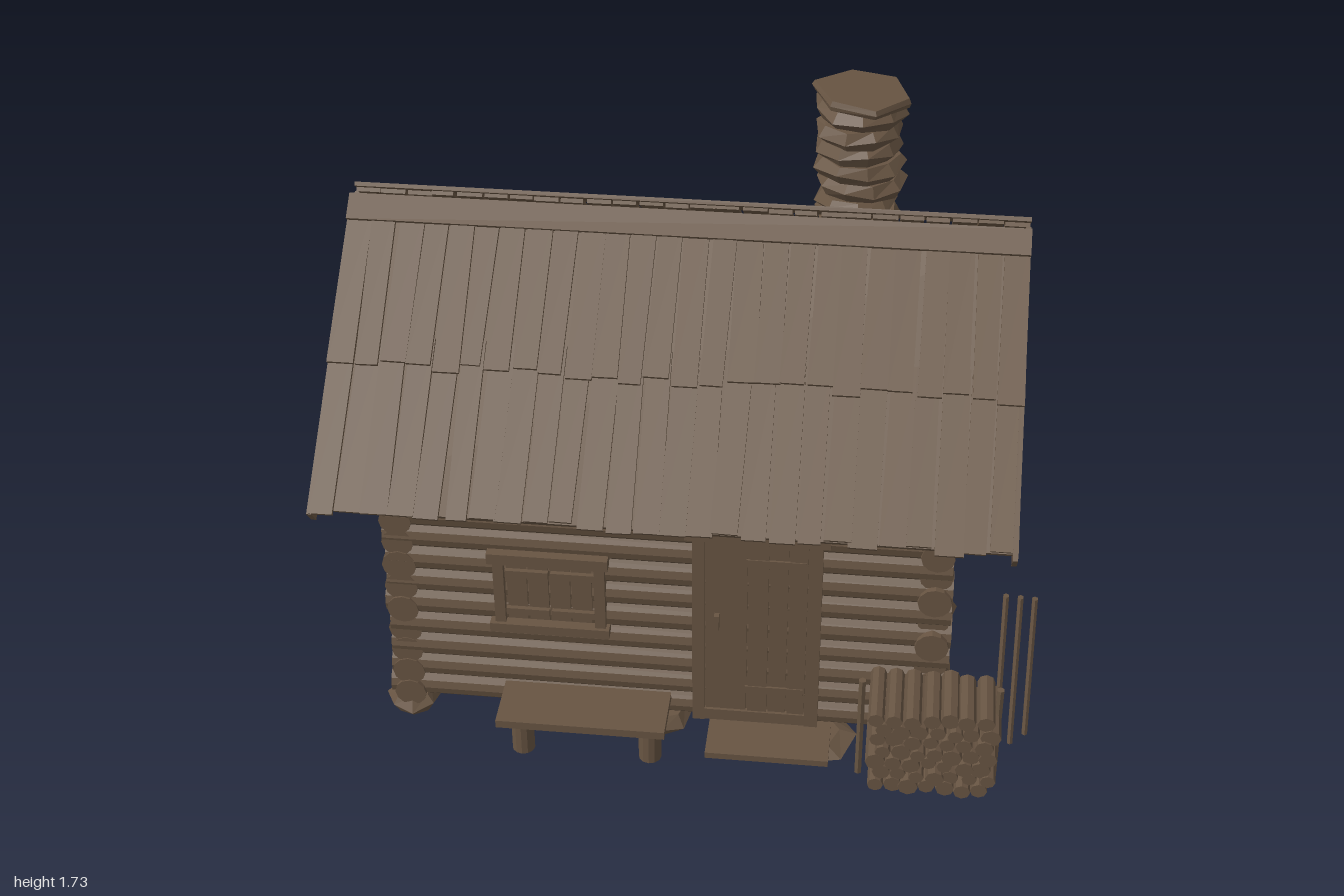
import * as THREE from 'three';

const wood = new THREE.MeshStandardMaterial({ color: 0x675442, flatShading: true });
wood.name = 'weathered brown';

export function createModel() {
  const root = new THREE.Group();
  root.name = 'logCabin';

  // seeded jitter in [-a, a]
  let seed = 7;
  const jit = (a) => {
    seed = (seed * 16807) % 2147483647;
    return (seed / 2147483647 * 2 - 1) * a;
  };

  const group = (name, parent = root, x = 0, y = 0, z = 0) => {
    const g = new THREE.Group();
    g.name = name;
    g.position.set(x, y, z);
    parent.add(g);
    return g;
  };
  const add = (parent, name, geo, x = 0, y = 0, z = 0) => {
    const m = new THREE.Mesh(geo, wood);
    m.name = name;
    m.position.set(x, y, z);
    parent.add(m);
    return m;
  };
  const box = (parent, name, w, h, d, x, y, z) =>
    add(parent, name, new THREE.BoxGeometry(w, h, d), x, y, z);
  // box given by its x and y limits, with a z centre
  const panel = (parent, name, x0, x1, y0, y1, z, d) =>
    box(parent, name, x1 - x0, y1 - y0, d, (x0 + x1) / 2, (y0 + y1) / 2, z);
  const log = (parent, name, r, len, axis, x, y, z, sides = 12) => {
    const g = new THREE.CylinderGeometry(r, r, len, sides);
    if (axis === 'x') g.rotateZ(Math.PI / 2);
    if (axis === 'z') g.rotateX(Math.PI / 2);
    return add(parent, name, g, x, y, z);
  };
  // squat, irregular faceted stone
  const rock = (parent, name, r, h, x, y, z, edge = 0.72, sides = 7) => {
    const g = new THREE.CylinderGeometry(r * edge, r * edge, h, sides, 2);
    const p = g.attributes.position, s = jit(3);
    for (let i = 0; i < p.count; i++) {
      const px = p.getX(i), py = p.getY(i), pz = p.getZ(i), t = Math.atan2(pz, px);
      const mid = Math.abs(py) < h * 0.1;
      const k = (mid ? 1 / edge : 1) * (1 + 0.05 * Math.sin(2 * t + s) + 0.04 * Math.sin(3 * t + 2 * s + py * 60));
      p.setXYZ(i, px * k, py + (mid ? 0.15 * h * Math.sin(3 * t + s) : 0), pz * k);
    }
    g.rotateY(s);
    g.computeVertexNormals();
    return add(parent, name, g, x, y, z);
  };

  const CX = -0.05, CZ = -0.035;
  const house = group('house', root, CX, 0, CZ);

  // log walls, rows of one pair offset from the other
  const walls = group('logWalls', house);
  const STEP = 0.0785;
  for (const s of [1, -1]) {
    for (let i = 0; i < 10; i++) {
      log(walls, 'longLog', 0.047 + jit(0.002), 1.595 + jit(0.02), 'x', jit(0.006), 0.117 + i * STEP, s * 0.565);
      log(walls, 'sideLog', 0.047 + jit(0.002), 1.22 + jit(0.02), 'z', s * 0.75, 0.1 + i * STEP, jit(0.008));
    }
  }
  box(house, 'floor', 1.5, 0.02, 1.13, 0, 0.07, 0);

  // foundation stones around the edge
  const stones = group('foundationStones', house);
  for (let i = 0; i < 5; i++)
    for (let j = 0; j < 5; j++)
      if (i % 4 === 0 || j % 4 === 0)
        rock(stones, 'stone', 0.076, 0.066, -0.75 + i * 0.375 + jit(0.01), 0.043, -0.565 + j * 0.2825, 0.68);

  // roof slopes: local z runs down the slope, local y is its normal
  const PITCH = 0.668, APEX = 1.412, TAN = Math.tan(PITCH), HALF = 0.954;
  const roof = group('roof', house);
  const shingle = (parent, x, w, s0, s1, y, turn) => {
    const g = new THREE.BoxGeometry(w, 0.012, s1 - s0);
    const p = g.attributes.position, taper = 1 + jit(0.12);
    for (let i = 0; i < p.count; i++) if (p.getZ(i) > 0) p.setX(i, p.getX(i) * taper);
    add(parent, 'roofBoard', g, x, y, (s0 + s1) / 2).rotation.y = turn;
  };
  for (const s of [1, -1]) {
    const side = group(s > 0 ? 'frontSlopeSide' : 'backSlopeSide', roof);
    if (s < 0) side.rotation.y = Math.PI;
    const slope = group('slope', side, 0, APEX, 0);
    slope.rotation.x = PITCH;
    box(slope, 'deck', 1.88, 0.018, 0.9, 0, -0.009, 0.47);
    const N = 26;
    for (let i = 0; i < N; i++) {
      const x = -HALF + (i + 0.5) * (2 * HALF / N);
      const edge = i === 0 || i === N - 1;
      const w = edge ? 0.069 : 0.067 + jit(0.005), dx = edge ? 0 : jit(0.004), turn = edge ? 0 : 0.016;
      shingle(slope, x + dx, w, 0.42, 0.928 + jit(0.012), 0.006 + jit(0.003), jit(turn));
      shingle(slope, x - dx, w + jit(0.002), 0.03, 0.508 + jit(0.016), 0.019 + jit(0.003), jit(turn));
    }
    box(slope, 'ridgeBoard', 2 * HALF, 0.012, 0.078, 0, 0.03, 0.051);
    for (const e of [1, -1])
      box(slope, 'bargeBoard', 0.014, 0.06, 0.918, e * (HALF - 0.007), -0.02, 0.481);
    log(side, 'purlin', 0.03, 1.84, 'x', 0, APEX - 0.32 * TAN - 0.06, 0.32, 8);
  }
  log(roof, 'ridgeBeam', 0.03, 1.88, 'x', 0, 1.365, 0, 8);

  // vertical gable planks cut to the roof line
  for (const s of [1, -1]) {
    const gable = group('gable', house, s * 0.772, 0, 0);
    const n = 20, W = 1.22 / n;
    const slab = (name, outline, depth) => {
      const shape = new THREE.Shape(outline.map(([u, v]) => new THREE.Vector2(u, v)));
      const g = new THREE.ExtrudeGeometry(shape, { depth, bevelEnabled: false });
      g.rotateY(s * Math.PI / 2);
      add(gable, name, g);
    };
    const top = (z) => APEX - 0.025 - Math.abs(z) * TAN;
    for (let i = 0; i < n; i++) {
      const a = -0.61 + i * W + 0.001, b = a + W - 0.002;
      slab('gablePlank', [[a, 0.763], [b, 0.763], [b, top(b)], [a, top(a)]], 0.024 + (i % 2) * 0.007 + jit(0.001));
    }
    slab('gableLining', [[-0.609, 0.765], [0.609, 0.765], [0.609, top(0.609)], [0, top(0)], [-0.609, top(0.609)]], 0.015);
  }

  // stacked stone chimney
  const chimney = group('chimney', root, 0.42, 0, -0.2);
  for (let i = 0; i < 10; i++) {
    const m = rock(chimney, 'chimneyStone', 0.128 + jit(0.004), 0.054, jit(0.005), 1.178 + i * 0.0555, jit(0.005), 0.84, 9);
    m.rotation.set(jit(0.04), 0, jit(0.04));
  }
  rock(chimney, 'chimneyCap', 0.136, 0.028, 0, 1.718, 0, 0.95, 6).rotation.z = -0.05;

  // door with frame, planks, battens and handle
  const door = group('door');
  panel(door, 'doorHeader', 0.01, 0.41, 0.745, 0.785, 0.568, 0.06);
  panel(door, 'doorPostLeft', 0.03, 0.065, 0.09, 0.745, 0.563, 0.06);
  panel(door, 'doorPostRight', 0.352, 0.39, 0.09, 0.745, 0.563, 0.06);
  panel(door, 'doorBacking', 0.06, 0.355, 0.125, 0.745, 0.555, 0.04);
  [[0.067, 0.183], [0.188, 0.242], [0.247, 0.296], [0.301, 0.35]].forEach(([a, b], i) =>
    panel(door, 'doorPlank', a, b, 0.13, 0.74, 0.57 + (i % 2) * 0.003, 0.028));
  for (const y of [0.2, 0.66]) panel(door, 'doorBatten', 0.18, 0.345, y, y + 0.025, 0.587, 0.006);
  panel(door, 'doorHandle', 0.092, 0.106, 0.435, 0.485, 0.592, 0.02);
  panel(door, 'threshold', 0.03, 0.39, 0.09, 0.128, 0.565, 0.05);

  // window with two shutters crossed by bars
  const win = group('window');
  panel(win, 'windowLintel', -0.545, -0.205, 0.615, 0.65, 0.568, 0.06);
  panel(win, 'windowSill', -0.545, -0.205, 0.375, 0.405, 0.57, 0.065);
  panel(win, 'windowPostLeft', -0.53, -0.5, 0.405, 0.615, 0.565, 0.055);
  panel(win, 'windowPostRight', -0.245, -0.215, 0.405, 0.615, 0.565, 0.055);
  panel(win, 'windowBacking', -0.5, -0.245, 0.405, 0.615, 0.55, 0.04);
  for (let i = 0; i < 4; i++)
    panel(win, 'shutterPlank', -0.493 + i * 0.061, -0.437 + i * 0.061, 0.412, 0.608, 0.57, 0.02);
  for (const x of [-0.496, -0.367])
    for (const y of [0.435, 0.57]) panel(win, 'shutterBar', x, x + 0.122, y, y + 0.022, 0.586, 0.014);

  // bench on log legs
  const bench = group('bench');
  box(bench, 'benchSeat', 0.48, 0.025, 0.17, -0.27, 0.178, 0.685);
  for (const x of [-0.45, -0.082]) log(bench, 'benchLeg', 0.033, 0.15, 'y', x, 0.095, 0.685);

  // doorstep
  const step = group('doorstep');
  box(step, 'stepBoard', 0.35, 0.02, 0.15, 0.255, 0.08, 0.655);
  rock(step, 'stepStone', 0.19, 0.045, 0.33, 0.046, 0.58, 0.7).scale.z = 0.65;

  // stacked firewood between two posts
  const pile = group('woodpile');
  for (let r = 0; r < 7; r++)
    for (let c = 0; c < 7; c++)
      log(pile, 'firewood', 0.025 + jit(0.004), 0.19 + jit(0.012), 'z',
        0.562 + c * 0.049 + (r % 2) * 0.018 + jit(0.004), 0.062 + r * 0.041 + jit(0.003), 0.68 + jit(0.005), 8);
  for (const x of [0.515, 0.895]) log(pile, 'pilePost', 0.011, 0.345, 'y', x, 0.197, 0.69, 6);

  // poles leaning beside the wall
  const poles = group('leaningPoles');
  for (let i = 0; i < 3; i++) {
    const top = 0.55 - i * 0.033;
    const m = log(poles, 'pole', 0.012, top - 0.03, 'y', 0.9 + i * 0.043, (top + 0.035) / 2, 0.54 - i * 0.04, 6);
    m.rotation.set(-0.15, 0, 0.012);
    m.scale.x = 0.75;
  }
  return root;
}
